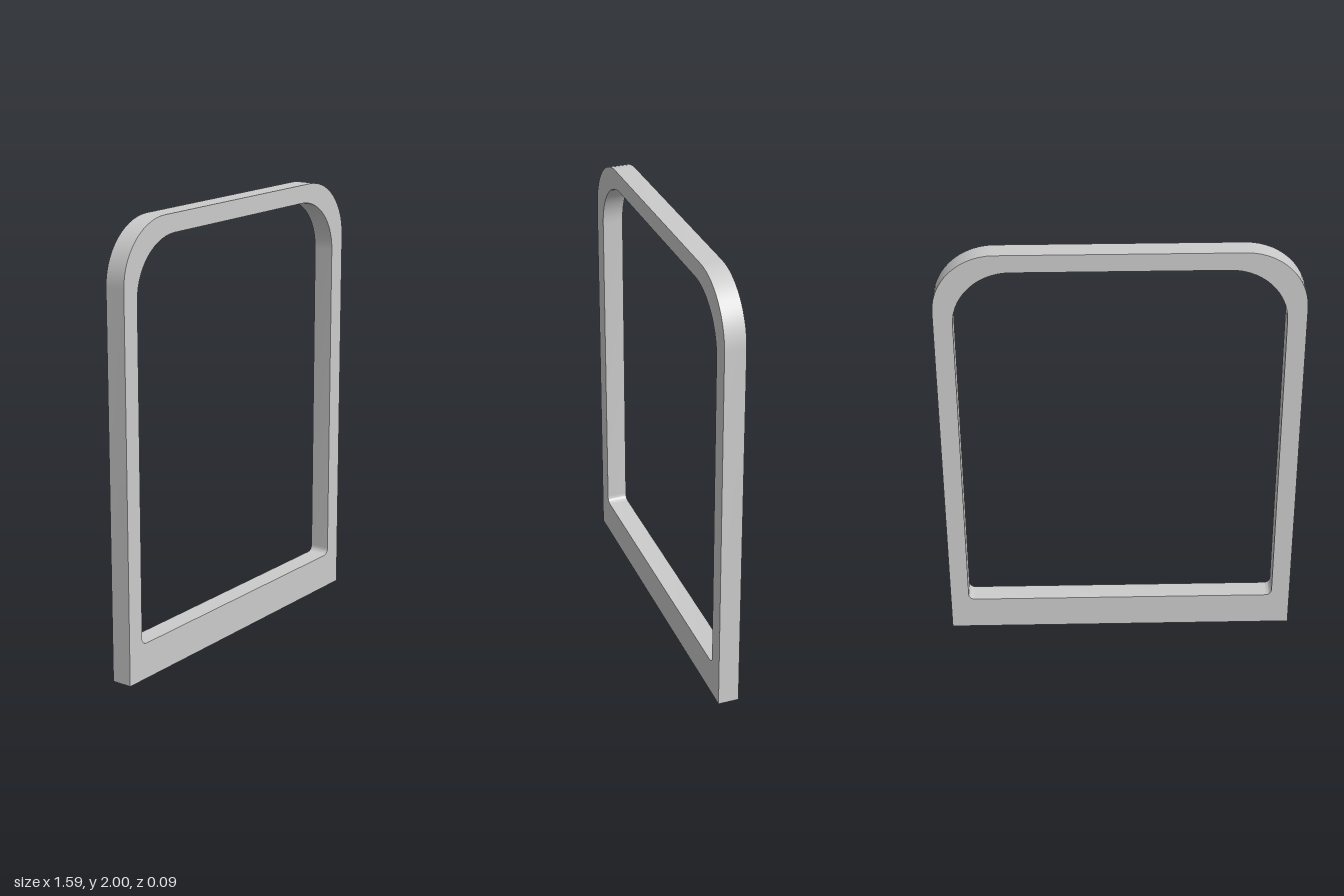
import * as THREE from 'three';
import { toCreasedNormals } from 'three/addons/utils/BufferGeometryUtils.js';

// Rectangle with separate radii for the bottom and top corners
function roundedOutline(path, halfWidth, bottom, top, bottomRadius, topRadius) {
  const w = halfWidth, b = bottomRadius, t = topRadius;
  path.moveTo(-w + b, bottom);
  path.lineTo(w - b, bottom);
  if (b > 0) path.absarc(w - b, bottom + b, b, -Math.PI / 2, 0);
  path.lineTo(w, top - t);
  path.absarc(w - t, top - t, t, 0, Math.PI / 2);
  path.lineTo(-w + t, top);
  path.absarc(-w + t, top - t, t, Math.PI / 2, Math.PI);
  path.lineTo(-w, bottom + b);
  if (b > 0) path.absarc(-w + b, bottom + b, b, Math.PI, Math.PI * 1.5);
  path.closePath();
  return path;
}

export function createModel() {
  const group = new THREE.Group();
  group.name = 'windowFrame';
  const depth = 0.094;

  // Outer edge has square feet; the opening is softly rounded at its base
  const shape = roundedOutline(new THREE.Shape(), 0.797, 0, 2, 0, 0.27);
  shape.holes.push(roundedOutline(new THREE.Path(), 0.713, 0.163, 1.918, 0.028, 0.25));

  const geometry = new THREE.ExtrudeGeometry(shape, { depth, bevelEnabled: false, curveSegments: 7 });
  geometry.translate(0, 0, -depth / 2);

  const frame = new THREE.Mesh(
    toCreasedNormals(geometry, 0.6),
    new THREE.MeshStandardMaterial({ color: 0xcccccc })
  );
  frame.name = 'frame';
  group.add(frame);
  return group;
}
